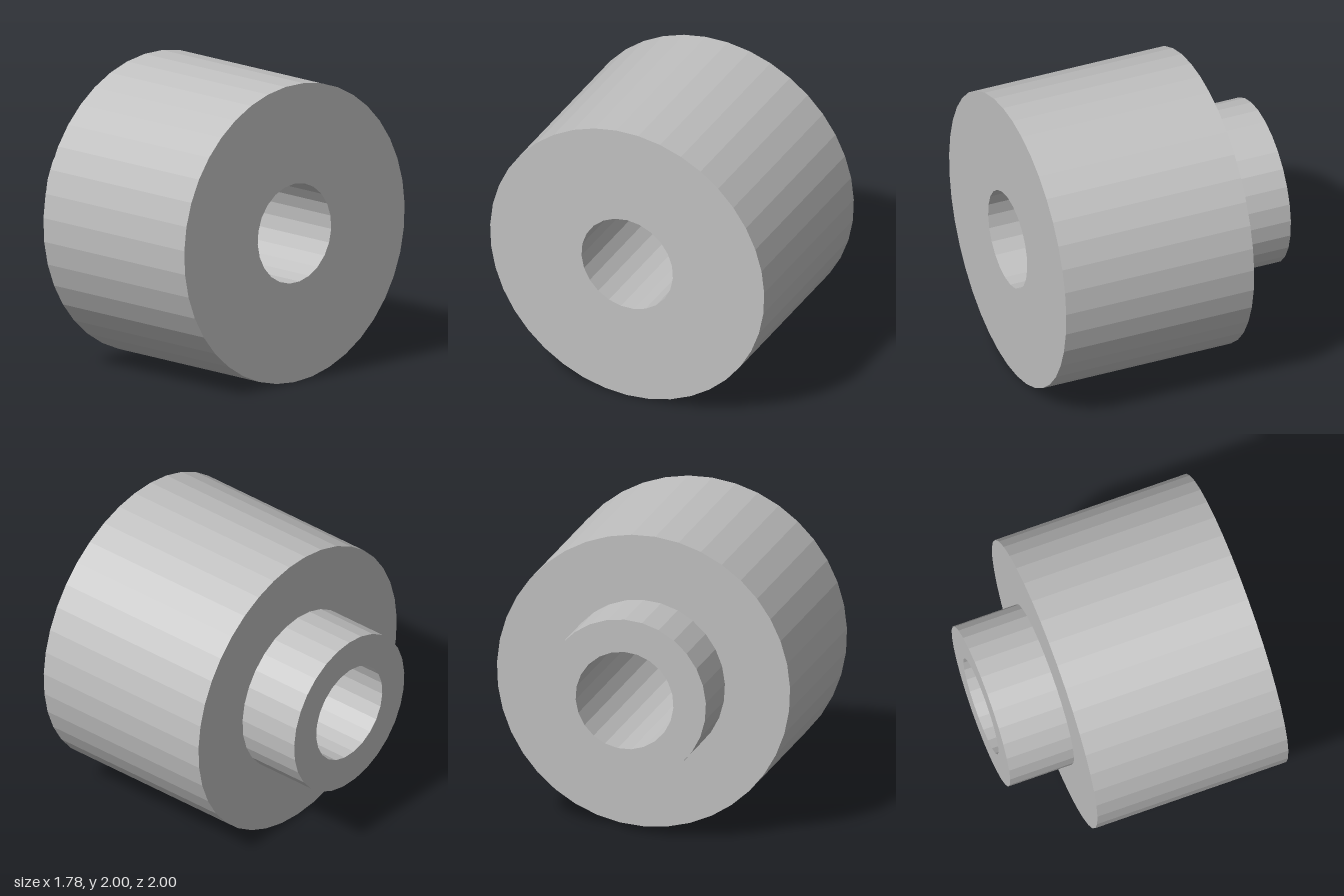
import * as THREE from 'three';

const STEP = -0.444, LEFT = -0.889, RIGHT = 0.889;

// Circular outlines as regular polygons; up is the direction of the first corner
const BODY = { r: 1.0005, n: 39, up: -1 };
const HUB = { r: 0.556, n: 29, up: 1 };
const BORE = { r: 0.334, n: 23, up: 1 };

const corners = ({ r, n, up }) => Array.from({ length: n }, (_, i) => {
  const a = up * Math.PI / 2 + (i / n) * Math.PI * 2;
  return new THREE.Vector2(r * Math.cos(a), r * Math.sin(a));
});

// Open tube along x
function wall({ r, n, up }, x0, x1, inward = false) {
  const g = new THREE.CylinderGeometry(r, r, x1 - x0, n, 1, true, -up * Math.PI / 2);
  g.rotateZ(-Math.PI / 2).translate((x0 + x1) / 2, 0, 0);
  if (inward) {
    g.index.array.reverse();
    const normals = g.attributes.normal.array;
    normals.forEach((v, i) => { normals[i] = -v; });
  }
  return g;
}

// Flat ring across x, facing +x or -x
function ring(outer, inner, x, dir) {
  const shape = new THREE.Shape(corners(outer));
  shape.holes.push(new THREE.Path(corners(inner)));
  return new THREE.ShapeGeometry(shape).rotateY(dir * Math.PI / 2).translate(x, 0, 0);
}

export function createModel() {
  const grey = new THREE.MeshStandardMaterial({ color: 0xc0c0c0, flatShading: true });
  grey.name = 'grey';

  const model = new THREE.Group();
  model.name = 'steppedBushing';
  const add = (name, geometry) => {
    const mesh = new THREE.Mesh(geometry, grey);
    mesh.name = name;
    mesh.position.y = 1;
    model.add(mesh);
  };

  // Wide body
  add('bodyWall', wall(BODY, STEP, RIGHT));
  add('bodyEndFace', ring(BODY, BORE, RIGHT, 1));
  add('shoulderFace', ring(BODY, HUB, STEP, -1));

  // Narrow hub
  add('hubWall', wall(HUB, LEFT, STEP));
  add('hubEndFace', ring(HUB, BORE, LEFT, -1));

  // Through hole
  add('boreWall', wall(BORE, LEFT, RIGHT, true));
  return model;
}
